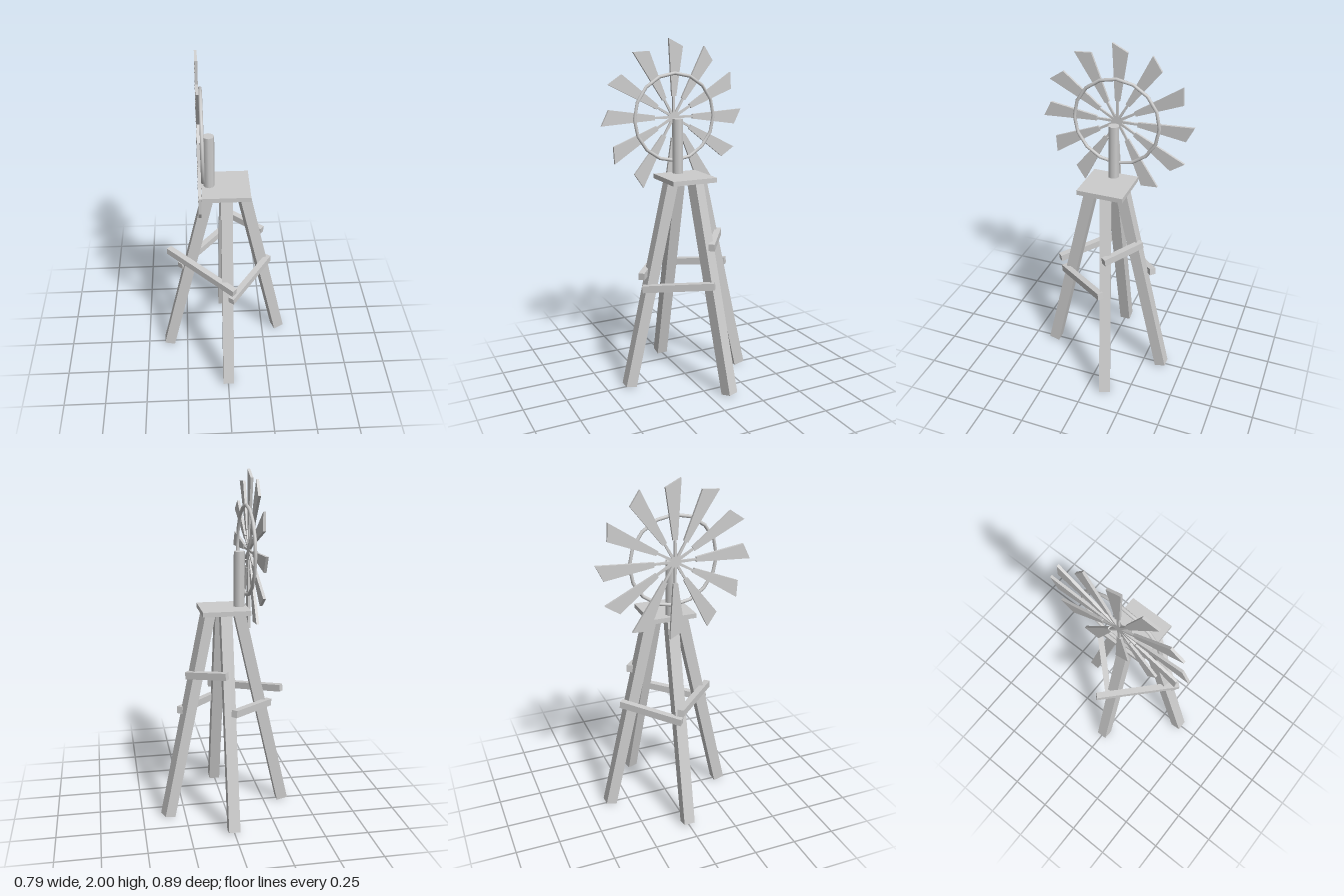
import * as THREE from 'three';

const V = (x, y, z) => new THREE.Vector3(x, y, z);

export function createModel() {
  const model = new THREE.Group();
  const grey = new THREE.MeshStandardMaterial({ color: 0xcccccc });
  grey.name = 'plain grey';

  const add = (name, geometry, parent = model) => {
    const mesh = new THREE.Mesh(geometry, grey);
    mesh.name = name;
    parent.add(mesh);
    return mesh;
  };

  // Straight timber between two points; width stays horizontal
  const beam = (name, a, b, width, height) => {
    const dir = b.clone().sub(a);
    const mesh = add(name, new THREE.BoxGeometry(width, dir.length(), height));
    dir.normalize();
    const side = dir.clone().cross(V(0, 1, 0)).normalize();
    const basis = new THREE.Matrix4().makeBasis(side, dir, side.clone().cross(dir));
    mesh.quaternion.setFromRotationMatrix(basis);
    mesh.position.copy(a).add(b).multiplyScalar(0.5);
  };

  // Splayed legs, the left one turned a little toward the back
  const legs = {
    frontLeg: [V(0.002, 0.008, 0.365), V(0.002, 1.215, 0.088)],
    backLeg: [V(0.002, 0.008, -0.365), V(0.002, 1.215, -0.088)],
    rightLeg: [V(-0.365, 0.008, 0), V(-0.088, 1.215, 0)],
    leftLeg: [V(0.352, 0.008, -0.114), V(0.09, 1.215, -0.021)],
  };
  for (const [name, [foot, top]] of Object.entries(legs)) beam(name, foot, top, 0.065, 0.065);

  // Crooked cross braces
  const braces = {
    frontRightBrace: [V(-0.34, 0.742, -0.043), V(0.039, 0.683, 0.294)],
    frontLeftBrace: [V(0.02, 0.602, 0.277), V(0.267, 0.645, -0.057)],
    backLeftBrace: [V(0.015, 0.887, -0.214), V(0.222, 0.857, -0.058)],
    backRightBrace: [V(-0.275, 0.645, -0.005), V(-0.014, 0.687, -0.28)],
  };
  for (const [name, [a, b]] of Object.entries(braces)) beam(name, a, b, 0.036, 0.041);

  // Platform and mast
  add('platform', new THREE.BoxGeometry(0.272, 0.027, 0.27)).position.set(0, 1.223, 0);
  const mast = add('mast', new THREE.CylinderGeometry(0.032, 0.032, 0.33, 8));
  mast.position.set(-0.092, 1.387, 0);

  // Wheel, built in the xy plane and turned to face sideways
  const wheel = new THREE.Group();
  wheel.name = 'windWheel';
  wheel.position.set(-0.148, 1.556, 0);
  wheel.rotation.y = Math.PI / 2;
  model.add(wheel);

  const plate = (points, depth) => {
    const shape = new THREE.Shape(points.map(([x, y]) => new THREE.Vector2(x, y)));
    return new THREE.ExtrudeGeometry(shape, { depth, bevelEnabled: false }).translate(0, 0, -depth / 2);
  };
  const bladeShape = plate([[-0.012, 0.12], [0.015, 0.12], [0.058, 0.4], [-0.03, 0.444]], 0.015);
  const spokeShape = plate([[-0.008, 0], [0.008, 0], [0.006, 0.14], [-0.005, 0.14]], 0.012);
  for (let i = 0; i < 12; i++) {
    const arm = new THREE.Group();
    arm.name = 'wheelArm';
    arm.rotation.z = -i * Math.PI / 6;
    wheel.add(arm);
    add('blade', bladeShape, arm);
    add('spoke', spokeShape, arm);
  }

  // Ring carrying the blades
  add('wheelRing', new THREE.TorusGeometry(0.251, 0.01, 8, 16), wheel).position.z = 0.018;

  return model;
}
